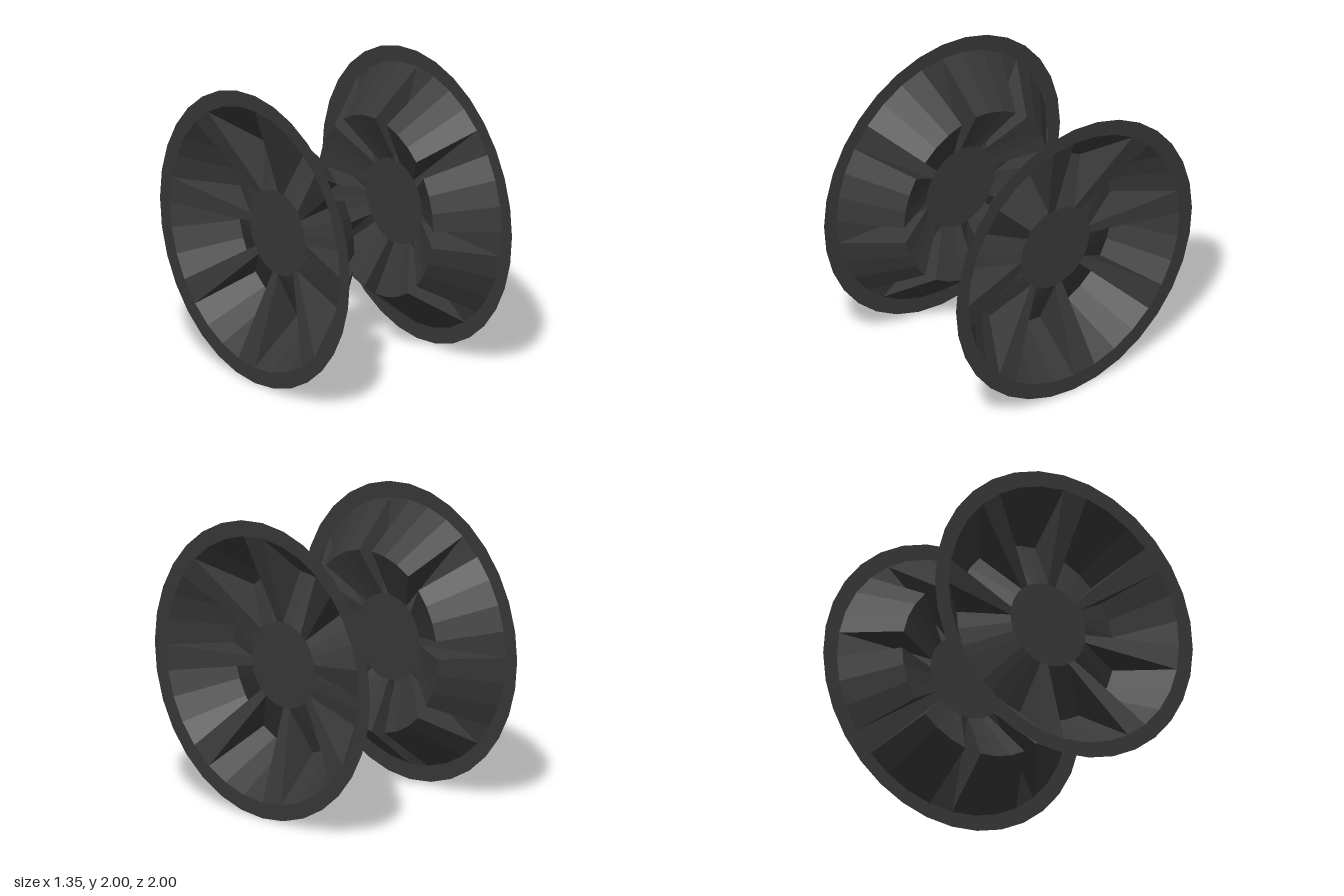
import * as THREE from 'three';

const STEP = Math.PI / 16;        // 32 facets per turn
const POCKETS = 8;                // each module: 3 pocket facets + 1 spoke facet

// section points of a wheel: [distance along the axle, radius]
const RIM = [0.673, 1], LIP = [0.673, 0.893], VALLEY = [0.327, 0.61], HUB = [0.482, 0.29], CENTRE = [0.482, 0];

const material = new THREE.MeshStandardMaterial({ color: 0x383838, flatShading: true, side: THREE.DoubleSide });

// section point turned to facet number i, clockwise from the top
const at = ([x, r], i) => [x, r * Math.cos(i * STEP), -r * Math.sin(i * STEP)];

// one facet between two section points
function facet(outer, inner, i) {
  const a = at(outer, i), b = at(inner, i), c = at(inner, i + 1), d = at(outer, i + 1);
  return inner[1] === 0 ? [a, b, d] : [a, b, c, a, c, d];
}

function sheet(name, corners) {
  const geometry = new THREE.BufferGeometry();
  geometry.setAttribute('position', new THREE.Float32BufferAttribute(corners.flat(), 3));
  geometry.computeVertexNormals();
  const mesh = new THREE.Mesh(geometry, material);
  mesh.name = name;
  return mesh;
}

function createWheel(name) {
  const wheel = new THREE.Group();
  wheel.name = name;

  // flat outer rim and recessed hub disc
  const rim = [], hub = [];
  for (let i = 0; i < 32; i++) {
    rim.push(...facet(RIM, LIP, i));
    hub.push(...facet(HUB, CENTRE, i));
  }
  wheel.add(sheet('rim', rim), sheet('hub', hub));

  for (let p = 0; p < POCKETS; p++) {
    const start = p * 4, end = start + 3;

    // pocket: outer and inner slopes closed by triangular side walls
    const pocket = [];
    for (let i = start; i < end; i++) pocket.push(...facet(LIP, VALLEY, i), ...facet(VALLEY, HUB, i));
    pocket.push(at(LIP, start), at(HUB, start), at(VALLEY, start));
    pocket.push(at(LIP, end), at(VALLEY, end), at(HUB, end));
    wheel.add(sheet('pocket', pocket));

    // spoke sloping from the rim in to the hub
    wheel.add(sheet('spoke', facet(LIP, HUB, end)));
  }
  return wheel;
}

export function createModel() {
  const model = new THREE.Group();
  model.name = 'wheelPair';
  const left = createWheel('leftWheel');
  const right = createWheel('rightWheel');
  right.scale.x = -1;
  left.position.y = right.position.y = 1;
  model.add(left, right);
  return model;
}
